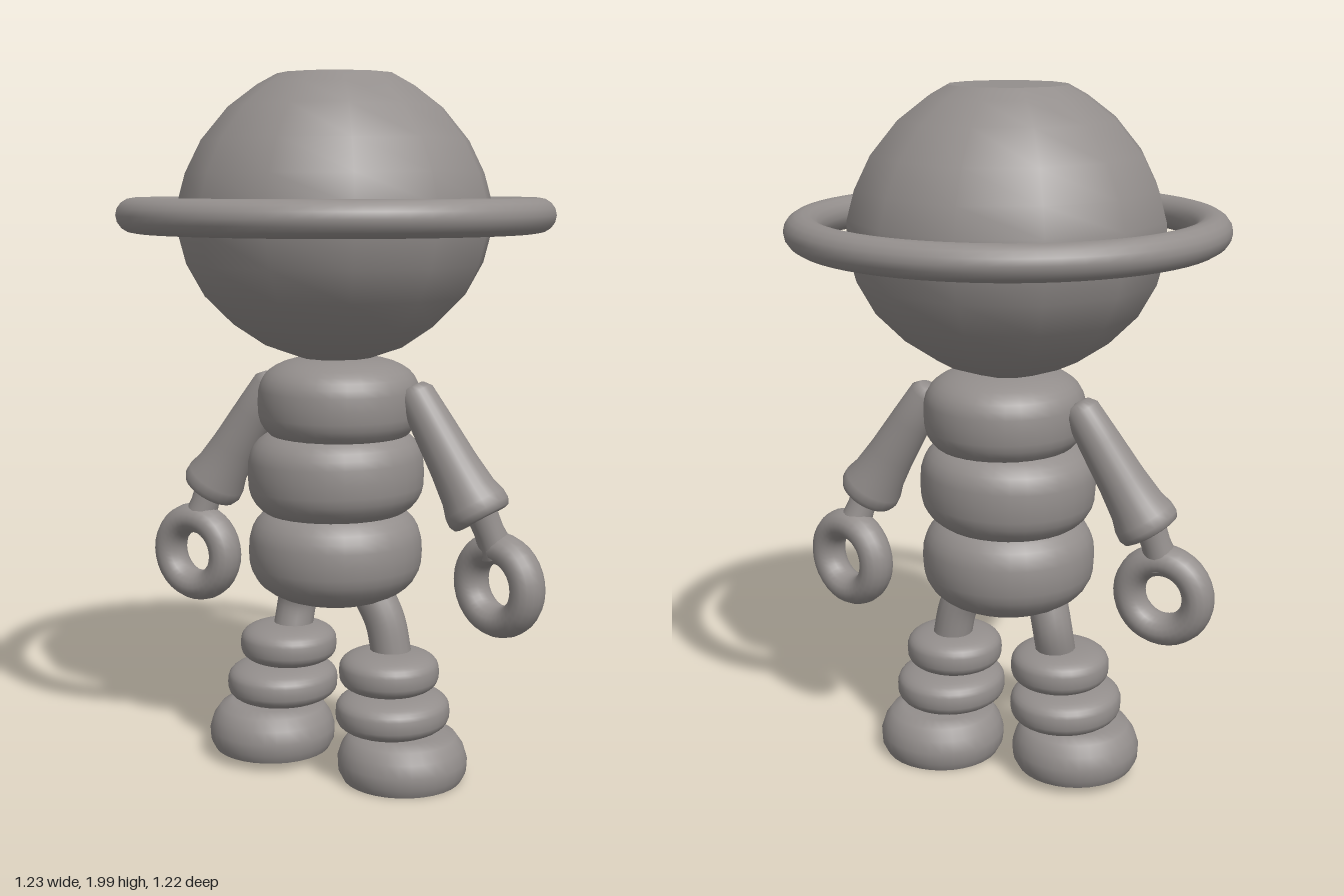
import * as THREE from 'three';

export function createModel() {
  const model = new THREE.Group();
  model.name = 'ringedFigure';
  const grey = new THREE.MeshStandardMaterial({ color: 0x938e8c });
  grey.name = 'warm grey';

  const add = (name, geometry, x = 0, y = 0, z = 0, parent = model) => {
    const mesh = new THREE.Mesh(geometry, grey);
    mesh.name = name;
    mesh.position.set(x, y, z);
    parent.add(mesh);
    return mesh;
  };
  // Profiles run bottom to top; a repeated point makes a sharp edge
  const lathe = (points, sides = 32, start = 0) =>
    new THREE.LatheGeometry(points.map(([r, y]) => new THREE.Vector2(r, y)), sides, start);

  // Padded roll: a rounded disc, squarer for smaller k
  const roll = (r, h, k = 0.7) => {
    const points = [];
    for (let i = 0; i <= 20; i++) {
      const a = (i / 20 - 0.5) * Math.PI, s = Math.sin(a);
      const c = i % 20 ? Math.cos(a) : 0;
      points.push([r * c ** k, Math.sign(s) * Math.abs(s) ** k * h / 2]);
    }
    return lathe(points);
  };

  // Tapered piece turned along the line between two points
  const limb = (name, from, to, profile, parent) => {
    const a = new THREE.Vector3(...from), d = new THREE.Vector3(...to).sub(a);
    const length = d.length();
    const mesh = add(name, lathe(profile.map(([r, t]) => [r, t * length]), 24), ...from, parent);
    mesh.quaternion.setFromUnitVectors(new THREE.Vector3(0, 1, 0), d.normalize());
  };

  // Head: twelve-sided ball with a flat crown
  add('head', lathe([
    [0, 1.205], [0.1, 1.215], [0.2, 1.25], [0.29, 1.31], [0.37, 1.39], [0.42, 1.48],
    [0.446, 1.58], [0.442, 1.65], [0.42, 1.73], [0.375, 1.82], [0.3, 1.91], [0.22, 1.97],
    [0.165, 2], [0.165, 2], [0, 2],
  ], 12, Math.PI / 12), -0.008, 0, -0.003);

  // Ring around the head
  const ring = add('headRing', new THREE.TorusGeometry(0.56, 0.052, 16, 64), -0.006, 1.615, 0);
  ring.rotation.x = Math.PI / 2;
  ring.scale.z = 0.93;

  // Torso of three padded rolls
  add('chestRoll', roll(0.23, 0.26), 0.005, 1.09, 0).scale.z = 1.02;
  add('waistRoll', roll(0.253, 0.29), -0.007, 0.885, 0).rotation.z = 0.03;
  add('hipRoll', roll(0.25, 0.31, 0.78), -0.007, 0.66, 0.002);

  // Arms: flared sleeve, wrist and ring hand
  for (const [side, s, zShoulder, zCuff, zHand, turn] of [
    ['left', 1, -0.055, -0.095, -0.137, -0.15],
    ['right', -1, 0.02, 0.075, 0.1, 0.1],
  ]) {
    const arm = new THREE.Group();
    arm.name = side + 'Arm';
    model.add(arm);
    limb('sleeve', [s * 0.22, 1.145, zShoulder], [s * 0.435, 0.79, zCuff], [
      [0, 0], [0.035, 0.01], [0.052, 0.06], [0.06, 0.3], [0.069, 0.6], [0.079, 0.8],
      [0.09, 0.89], [0.091, 0.95], [0.083, 0.99], [0.07, 1], [0, 1],
    ], arm);
    limb('wrist', [s * 0.425, 0.82, zCuff], [s * 0.46, 0.69, zHand],
      [[0.044, 0], [0.042, 0.5], [0.05, 1]], arm);
    const hand = add('hand', new THREE.TorusGeometry(0.104, 0.045, 16, 32),
      s * 0.465, 0.6, zHand, arm);
    hand.scale.z = 1.2;
    hand.rotation.y = turn;
  }

  // Legs: thin thigh, two padded rolls and a flat-soled boot
  const boot = lathe([
    [0, 0], [0.172, 0], [0.172, 0], [0.185, 0.025], [0.187, 0.06], [0.176, 0.095],
    [0.155, 0.125], [0.12, 0.14], [0, 0.142],
  ]);
  for (const [side, hip, knee, upper, lower, foot] of [
    ['left', [0.11, 0.56, -0.01], [0.18, 0.36, -0.025],
      [0.18, 0.327, -0.01], [0.19, 0.21, -0.015], [0.203, 0.007, -0.045]],
    ['right', [-0.145, 0.57, -0.01], [-0.175, 0.38, 0],
      [-0.18, 0.35, 0.01], [-0.195, 0.233, 0.02], [-0.215, 0.034, 0.045]],
  ]) {
    const leg = new THREE.Group();
    leg.name = side + 'Leg';
    model.add(leg);
    const mid = [(hip[0] + knee[0]) / 2 + Math.sign(hip[0]) * 0.012, 0.47, -0.02];
    const path = new THREE.CatmullRomCurve3([hip, mid, knee].map(p => new THREE.Vector3(...p)));
    add('thigh', new THREE.TubeGeometry(path, 12, 0.058, 16), 0, 0, 0, leg);
    add('upperRoll', roll(0.143, 0.122), ...upper, leg);
    add('lowerRoll', roll(0.16, 0.125), ...lower, leg).scale.z = 1.06;
    add('boot', boot, ...foot, leg);
  }
  return model;
}
